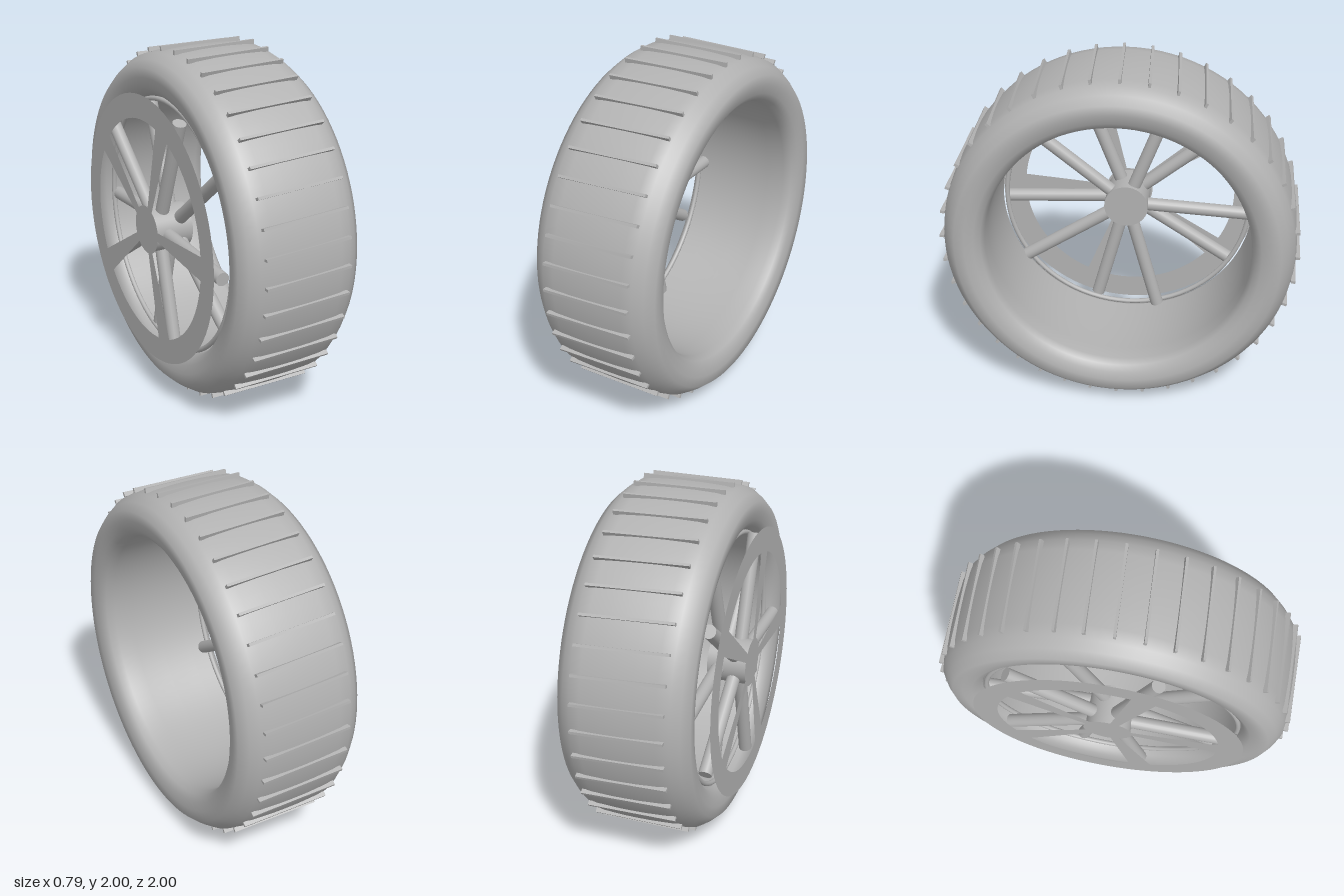
import * as THREE from 'three';

export function createModel() {
  const model = new THREE.Group();
  model.name = 'wheel';
  const grey = new THREE.MeshStandardMaterial({ color: 0xb2b2b2, side: THREE.DoubleSide });
  grey.name = 'grey';

  // The wheel turns about the x axis, centred one unit above the ground
  const wheel = new THREE.Group();
  wheel.name = 'wheelAssembly';
  wheel.position.y = 1;
  model.add(wheel);

  const add = (name, geometry, parent = wheel) => {
    const mesh = new THREE.Mesh(geometry, grey);
    mesh.name = name;
    parent.add(mesh);
    return mesh;
  };

  // Tyre: closed profile (radius, x) swept around the axle
  const profile = [
    [0.74, -0.26], [0.755, -0.295], [0.79, -0.318], [0.84, -0.329], [0.895, -0.332],
    [0.935, -0.29], [0.968, -0.24], [0.979, -0.17], [0.985, -0.05], [0.986, 0.04],
    [0.985, 0.12], [0.979, 0.24], [0.968, 0.3], [0.935, 0.35], [0.895, 0.394],
    [0.84, 0.391], [0.79, 0.38], [0.755, 0.355], [0.738, 0.31], [0.742, 0.2],
    [0.745, 0.03], [0.742, -0.15], [0.74, -0.26],
  ].map(([r, x]) => new THREE.Vector2(r, x));
  add('tyre', new THREE.LatheGeometry(profile, 96).rotateZ(-Math.PI / 2));

  // Tread bars, slightly skewed, every nine degrees
  const tread = new THREE.Group();
  tread.name = 'tread';
  wheel.add(tread);
  for (let i = 0; i < 40; i++) {
    const bar = new THREE.BoxGeometry(0.51, 0.015, 0.026);
    bar.rotateZ(0.05).translate(0.035, 0, 0.986).rotateX((i * Math.PI) / 20);
    add('treadBar', bar, tread);
  }

  // Thin rim ring just inside the tyre
  add('rimRing', new THREE.TorusGeometry(0.718, 0.014, 12, 80).rotateY(Math.PI / 2).translate(-0.26, 0, 0));

  // Hub
  add('hub', new THREE.CylinderGeometry(0.128, 0.128, 0.222, 40).rotateZ(Math.PI / 2).translate(-0.281, 0, 0));

  // Two layers of five round spokes; angles run from +z towards +y
  const spokes = new THREE.Group();
  spokes.name = 'spokes';
  wheel.add(spokes);
  const addSpokes = (name, startDegrees, x) => {
    for (let i = 0; i < 5; i++) {
      const angle = THREE.MathUtils.degToRad(startDegrees + 72 * i);
      const spoke = new THREE.CylinderGeometry(0.038, 0.038, 0.66, 20);
      spoke.translate(0, 0.39, 0).rotateX(Math.PI / 2 - angle).translate(x, 0, 0);
      add(name, spoke, spokes);
    }
  };
  addSpokes('outerSpoke', -3, -0.317);
  addSpokes('innerSpoke', 39, -0.23);

  // Flat wheel cover on the outer side: ring, hub cap and five tapered arms
  const cover = new THREE.Group();
  cover.name = 'wheelCover';
  cover.position.x = -0.394;
  cover.rotation.y = -Math.PI / 2;
  wheel.add(cover);
  add('coverRing', new THREE.RingGeometry(0.627, 0.765, 80), cover);
  add('hubCap', new THREE.CircleGeometry(0.138, 40), cover);
  const arm = new THREE.Shape([
    new THREE.Vector2(0.125, -0.025), new THREE.Vector2(0.628, -0.068),
    new THREE.Vector2(0.628, 0.068), new THREE.Vector2(0.125, 0.025),
  ]);
  for (let i = 0; i < 5; i++) {
    add('coverArm', new THREE.ShapeGeometry(arm).rotateZ((i * Math.PI * 2) / 5), cover);
  }

  return model;
}
